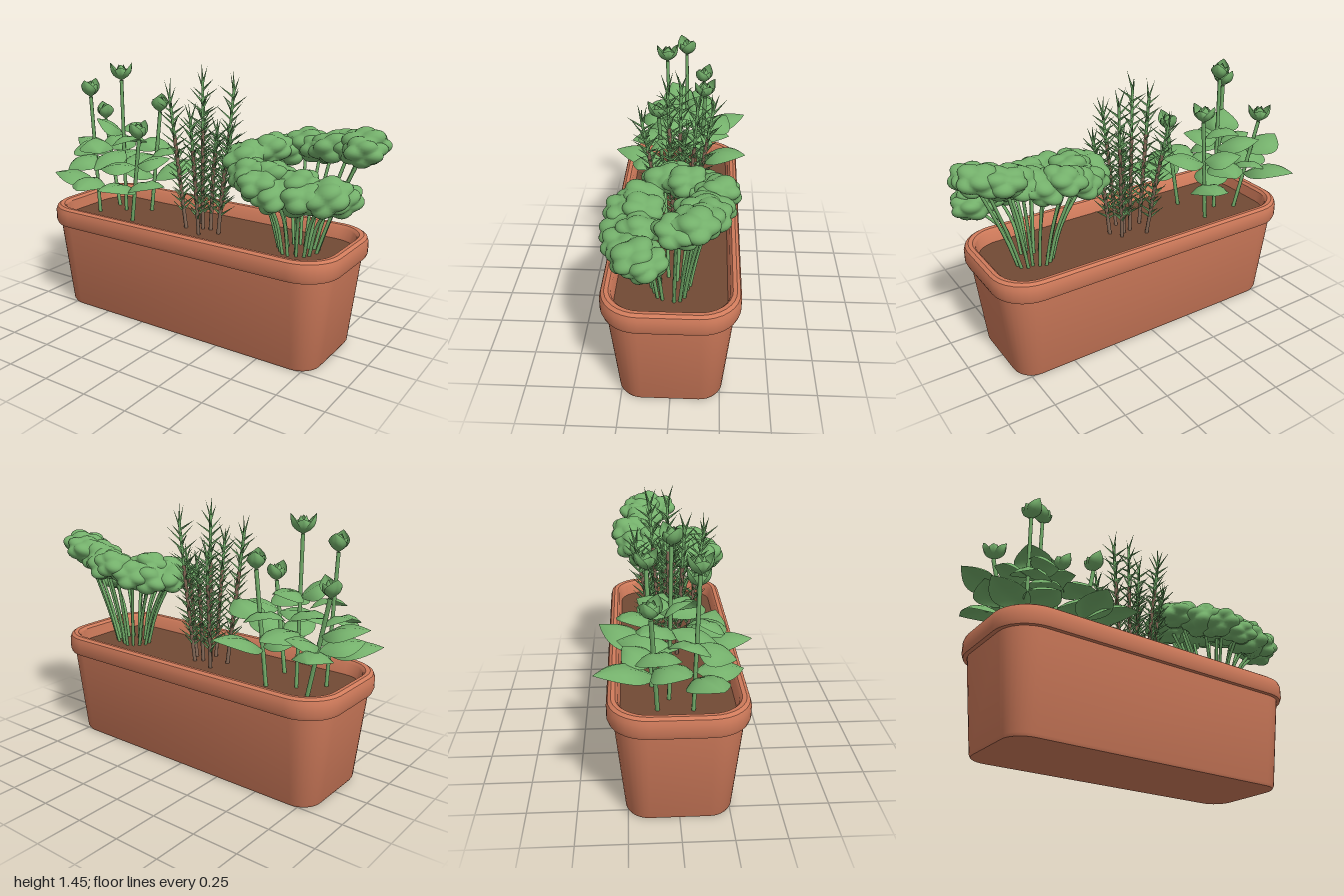
import * as THREE from 'three';
import { mergeGeometries, mergeVertices, toCreasedNormals } from 'three/addons/utils/BufferGeometryUtils.js';

const V = (x, y, z) => new THREE.Vector3(x, y, z);
const UP = V(0, 1, 0);
const SOIL_Y = 0.53;

const mats = {
  terracotta: new THREE.MeshStandardMaterial({ name: 'terracotta', color: 0xd07b5b }),
  soil: new THREE.MeshStandardMaterial({ name: 'soil', color: 0x724a34 }),
  leaf: new THREE.MeshStandardMaterial({ name: 'leaf green', color: 0x74b06b, side: THREE.DoubleSide }),
  wood: new THREE.MeshStandardMaterial({ name: 'woody stem', color: 0x866a58 }),
};

let seed = 11;
const rand = () => (seed = (seed * 16807) % 2147483647) / 2147483647;

function add(group, name, geometry, material) {
  const mesh = new THREE.Mesh(geometry, material);
  mesh.name = name;
  group.add(mesh);
}

// Rounded rectangle outline, counter-clockwise in x and -z
function ring(hx, hz, r, y, steps = 8) {
  const pts = [];
  [[1, 1], [-1, 1], [-1, -1], [1, -1]].forEach(([sx, sz], k) => {
    for (let i = 0; i <= steps; i++) {
      const a = (k + i / steps) * Math.PI / 2;
      pts.push(V(sx * (hx - r) + r * Math.cos(a), y, -(sz * (hz - r) + r * Math.sin(a))));
    }
  });
  return pts;
}

// Skin a list of rings; optionally close the first and last with fans
function loft(rings, capStart, capEnd) {
  const n = rings[0].length, pos = [], idx = [];
  rings.flat().forEach(p => pos.push(p.x, p.y, p.z));
  for (let j = 0; j < rings.length - 1; j++) for (let i = 0; i < n; i++) {
    const a = j * n + i, b = j * n + (i + 1) % n;
    idx.push(a, b, b + n, a, b + n, a + n);
  }
  const last = (rings.length - 1) * n;
  for (let i = 1; i < n - 1; i++) {
    if (capStart) idx.push(0, i + 1, i);
    if (capEnd) idx.push(last, last + i, last + i + 1);
  }
  const g = new THREE.BufferGeometry();
  g.setAttribute('position', new THREE.Float32BufferAttribute(pos, 3));
  g.setIndex(idx);
  return toCreasedNormals(g, 0.6);
}

function tube(points, radius, sides = 6) {
  return new THREE.TubeGeometry(new THREE.CatmullRomCurve3(points), 10, radius, sides);
}

// Pointed oval blade from base to tip, arched along its length and drooping at the edges
function blade(base, tip, width, arch = 0.18) {
  const g = new THREE.PlaneGeometry(1, 1, 6, 10), p = g.attributes.position;
  const d = tip.clone().sub(base), len = d.length();
  const side = d.clone().cross(UP).normalize(), nor = side.clone().cross(d).normalize();
  for (let i = 0; i < p.count; i++) {
    const v = p.getX(i) * 2, u = p.getY(i) + 0.5;
    const half = Math.max(0.004 * (1 - u), width / 2 * Math.pow(Math.sin(Math.PI * Math.pow(u, 0.9)), 0.95));
    const lift = arch * (len * Math.sin(Math.PI * u) - 3.2 * half * v * v - 0.8 * half * (1 - Math.abs(v)) ** 3);
    const q = base.clone().addScaledVector(d, u).addScaledVector(side, half * v).addScaledVector(nor, lift);
    p.setXYZ(i, q.x, q.y, q.z);
  }
  g.computeVertexNormals();
  return g;
}

// Lumpy flattened leaf cluster
function cluster(x, y, z, r) {
  const g0 = new THREE.IcosahedronGeometry(1, 7);
  g0.deleteAttribute('uv');
  g0.deleteAttribute('normal');
  const g = mergeVertices(g0, 1e-4), p = g.attributes.position;
  const turn = rand() * 6.28, tilt = rand() * 0.5 - 0.25, lumps = [];
  for (let i = 0; i < 11; i++) {
    const h = 1 - (i + 0.5) / 5.5, a = i * 2.4 + turn, s = Math.sqrt(1 - h * h);
    lumps.push(V(s * Math.cos(a), h, s * Math.sin(a)));
  }
  for (let i = 0; i < p.count; i++) {
    const d = V(0, 0, 0).fromBufferAttribute(p, i).normalize();
    const near = Math.max(...lumps.map(l => l.dot(d)));
    const k = r * (0.62 + 0.42 * Math.pow(Math.max(near, 0), 4));
    p.setXYZ(i, x + d.x * k, y + d.y * k * 0.7 + (0.1 * d.x + tilt * d.z) * k, z + d.z * k);
  }
  g.computeVertexNormals();
  return g;
}

function planter() {
  const g = new THREE.Group();
  g.name = 'planter';
  const profile = [
    [0.81, 0.255, 0.11, 0], [0.818, 0.262, 0.115, 0.015], [0.87, 0.312, 0.16, 0.5],
    [0.892, 0.335, 0.19, 0.5], [0.9, 0.343, 0.2, 0.52], [0.9, 0.343, 0.2, 0.575],
    [0.893, 0.336, 0.195, 0.597], [0.876, 0.32, 0.18, 0.608], [0.855, 0.3, 0.165, 0.606],
    [0.842, 0.288, 0.155, 0.592], [0.83, 0.272, 0.15, 0.5],
  ];
  add(g, 'pot', loft(profile.map(a => ring(...a)), true, false), mats.terracotta);
  const bed = [ring(0.836, 0.278, 0.15, SOIL_Y - 0.02), ring(0.836, 0.278, 0.15, SOIL_Y)];
  add(g, 'soil', loft(bed, false, true), mats.soil);
  g.position.x = -0.008;
  return g;
}

// Broad-leaved herb: each leaf is [height on stem, tip x, tip y, tip z]
function broadLeafHerb() {
  const g = new THREE.Group();
  g.name = 'broadLeafHerb';
  const plants = [
    { foot: [-0.7, 0.07], top: [-0.72, 1.22, 0.09], leaves: [[0.7, -0.95, 0.76, 0.18], [0.74, -0.65, 0.72, 0.31], [0.88, -0.86, 0.93, 0.0], [0.98, -0.59, 0.92, 0.18], [0.88, -0.76, 0.82, 0.26]] },
    { foot: [-0.59, -0.04], top: [-0.59, 1.31, -0.03], leaves: [[0.82, -0.53, 0.82, -0.29], [0.9, -0.78, 0.96, -0.18], [0.96, -0.42, 1.0, 0.06], [0.9, -0.62, 0.82, 0.2], [1.0, -0.71, 1.09, 0.06], [1.02, -0.54, 1.04, -0.19]] },
    { foot: [-0.46, -0.12], top: [-0.4, 1.13, -0.14], leaves: [[0.72, -0.31, 0.81, -0.38], [0.88, -0.2, 0.93, -0.05], [0.9, -0.57, 0.94, -0.27], [0.74, -0.62, 0.8, -0.02]] },
    { foot: [-0.43, 0.1], top: [-0.35, 1.02, 0.12], leaves: [[0.72, -0.13, 0.8, 0.23], [0.72, -0.43, 0.77, 0.38], [0.87, -0.21, 0.91, 0.02], [0.86, -0.56, 0.84, 0.21]] },
    { foot: [-0.69, -0.1], top: [-0.81, 1.05, -0.13], leaves: [[0.86, -1.0, 0.92, -0.08], [0.74, -0.86, 0.81, -0.39], [0.78, -0.92, 0.82, 0.04], [0.8, -0.65, 0.85, -0.26]] },
  ];
  for (const { foot, top, leaves } of plants) {
    const a = V(foot[0], SOIL_Y - 0.01, foot[1]), b = V(...top);
    const at = y => a.clone().lerp(b, (y - a.y) / (b.y - a.y));
    add(g, 'herbStem', tube([a, at(0.8), b], 0.011), mats.leaf);
    const blades = leaves.map(([y, ...tip], i) => blade(at(y), V(...tip), 0.21 - 0.015 * (i % 2)));
    add(g, 'herbLeaves', mergeGeometries(blades), mats.leaf);
    // Half-open leaf tip: an outer whorl around a nearly closed inner one
    const bud = [];
    for (let i = 0; i < 7; i++) {
      const inner = i > 3, t = i * (inner ? 2.094 : 1.571) + b.x * 9;
      const r = inner ? 0.015 : 0.042 + 0.02 * (i % 2), h = inner ? 0.09 : 0.075 + 0.025 * (i % 2);
      bud.push(blade(b.clone(), V(b.x + r * Math.cos(t), b.y + h, b.z + r * Math.sin(t)), inner ? 0.06 : 0.09, -0.25));
    }
    add(g, 'herbBud', mergeGeometries(bud), mats.leaf);
  }
  return g;
}

// Needle-leaved herb: stems woody below and green at the tips, with upswept needles
function needleHerb() {
  const g = new THREE.Group();
  g.name = 'needleHerb';
  const tips = [[-0.18, 1.26, 0.06], [-0.13, 1.18, -0.19], [-0.02, 1.35, -0.02], [0.04, 1.18, 0.18],
    [0.12, 1.31, -0.11], [0.19, 1.09, 0.03], [0.06, 1.08, -0.04]];
  for (const t of tips) {
    const foot = V(t[0] * 0.55, SOIL_Y - 0.01, t[2] * 0.45), top = V(...t);
    const mid = V(t[0] * 0.75, 0.85, t[2] * 0.7);
    const curve = new THREE.CatmullRomCurve3([foot, mid, top]), joint = curve.getPoint(0.75);
    add(g, 'woodyStem', tube([foot, mid, joint], 0.0105), mats.wood);
    add(g, 'greenStem', tube([joint, top], 0.008), mats.leaf);
    const needles = [], count = 54;
    for (let i = 0; i < count; i++) {
      const k = 0.16 + 0.84 * i / (count - 1), ang = i * 2.4 + t[0] * 20;
      const spread = i > count - 4 ? 0.35 : 1 + 0.6 * rand();
      const dir = V(Math.cos(ang) * spread, 1, Math.sin(ang) * spread).normalize();
      const len = 0.085 + 0.03 * rand(), p = curve.getPoint(k);
      const n = new THREE.ConeGeometry(0.0075, len, 4).translate(0, len / 2, 0);
      n.applyQuaternion(new THREE.Quaternion().setFromUnitVectors(UP, dir)).translate(p.x, p.y, p.z);
      needles.push(n);
    }
    add(g, 'needles', mergeGeometries(needles), mats.leaf);
  }
  return g;
}

// Curly herb: fanned stems carrying lumpy leaf clusters
function curlyHerb() {
  const g = new THREE.Group();
  g.name = 'curlyHerb';
  const heads = [
    [0.39, 0.94, 0.15], [0.47, 0.91, 0.22], [0.57, 0.88, 0.24], [0.69, 0.87, 0.2], [0.8, 0.89, 0.16],
    [0.85, 0.87, 0.1], [0.64, 0.92, 0.14], [0.5, 0.94, 0.14],
    [0.29, 0.99, 0.05], [0.27, 0.98, -0.04], [0.33, 0.97, -0.12], [0.41, 1.0, -0.18], [0.38, 1.03, -0.06],
    [0.5, 1.05, -0.22], [0.6, 1.03, -0.19], [0.69, 1.06, -0.14], [0.78, 1.08, -0.16],
    [0.87, 1.1, -0.11], [0.89, 1.08, -0.04],
  ];
  for (const [x, y, z] of heads) {
    const fx = 0.58 + (x - 0.58) * 0.32, fz = z * 0.4;
    const path = [V(fx, SOIL_Y - 0.01, fz), V(fx + (x - fx) * 0.3, 0.72, fz + (z - fz) * 0.3), V(x, y, z)];
    add(g, 'curlyStem', tube(path, 0.009), mats.leaf);
    add(g, 'curlyLeaf', cluster(x, y, z, 0.11 + 0.02 * rand()), mats.leaf);
  }
  return g;
}

export function createModel() {
  const model = new THREE.Group();
  model.name = 'herbPlanter';
  model.add(planter(), broadLeafHerb(), needleHerb(), curlyHerb());
  return model;
}
